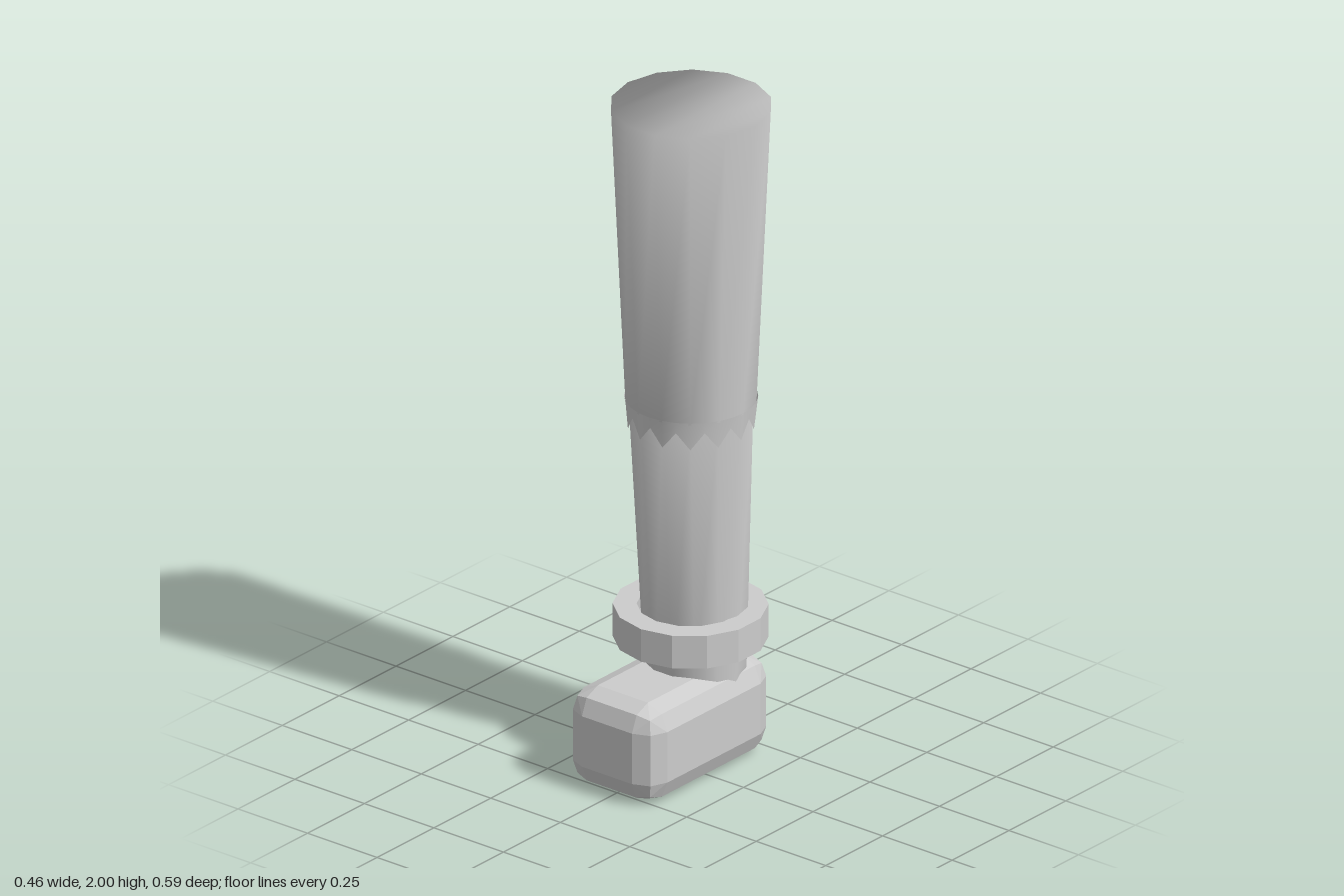
import * as THREE from 'three';
import { ConvexGeometry } from 'three/addons/geometries/ConvexGeometry.js';

const SIDES = 14;

// Capped tapering limb with soft shared normals; rings are [y, radius, z centre], bottom to top
function limb(rings) {
  const pos = [], idx = [];
  for (const [y, r, zc] of rings) {
    for (let i = 0; i < SIDES; i++) {
      const a = Math.PI / 2 + (i / SIDES) * Math.PI * 2;
      pos.push(r * Math.sin(a), y, zc + r * Math.cos(a));
    }
  }
  for (let k = 0; k < rings.length - 1; k++) {
    for (let i = 0; i < SIDES; i++) {
      const j = (i + 1) % SIDES, lo = k * SIDES, hi = lo + SIDES;
      idx.push(lo + i, lo + j, hi + j, lo + i, hi + j, hi + i);
    }
  }
  // End caps, filled in strips across the polygon
  const top = (rings.length - 1) * SIDES;
  const cap = (a, b, c) => {
    idx.push(top + a, top + b, top + c);
    idx.push(a, c, b);
  };
  for (let l = 0, r = SIDES - 1; l + 1 < r; l++, r--) {
    cap(l, l + 1, r);
    if (l + 1 < r - 1) cap(l + 1, r - 1, r);
  }
  const g = new THREE.BufferGeometry();
  g.setAttribute('position', new THREE.Float32BufferAttribute(pos, 3));
  g.setIndex(idx);
  g.computeVertexNormals();
  return g;
}

// Zigzag cloth edge hanging below the trouser leg
function raggedHem(teeth, zc) {
  const g = new THREE.CylinderGeometry(0.187, 0.18, 1, teeth * 2, 1, true);
  const p = g.attributes.position, n = teeth * 2 + 1;
  for (let i = 0; i < p.count; i++) {
    const tip = (i % n) % 2 === 1;
    const upper = p.getY(i) > 0;
    const y = upper ? 1.105 : tip ? 1.02 : 1.07;
    p.setXYZ(i, p.getX(i), y, p.getZ(i) + zc);
  }
  g.computeVertexNormals();
  return g;
}

// Box with two-step chamfers on every edge
function chamferedBox(w, h, d, r) {
  const pts = [];
  for (const sx of [-1, 1]) for (const sy of [-1, 1]) for (const sz of [-1, 1]) {
    for (let m = 1; m < 8; m++) {
      const v = new THREE.Vector3(m & 1, (m >> 1) & 1, (m >> 2) & 1).normalize().multiplyScalar(r);
      v.add(new THREE.Vector3(w / 2 - r, h / 2 - r, d / 2 - r));
      pts.push(v.multiply(new THREE.Vector3(sx, sy, sz)));
    }
  }
  return new ConvexGeometry(pts);
}

export function createModel() {
  const model = new THREE.Group();
  model.name = 'leg';
  const grey = new THREE.MeshStandardMaterial({ color: 0xcccccc, side: THREE.DoubleSide });
  grey.name = 'light grey';
  const flatGrey = grey.clone();
  flatGrey.flatShading = true;

  const add = (name, geometry, material) => {
    const mesh = new THREE.Mesh(geometry, material);
    mesh.name = name;
    model.add(mesh);
    return mesh;
  };

  // Upper leg, ragged hem and shin
  add('thigh', limb([[1.1, 0.187, -0.075], [2, 0.228, -0.075]]), grey);
  add('raggedHem', raggedHem(14, -0.075), grey);
  add('shin', limb([[0.25, 0.145, -0.095], [1.1, 0.178, -0.075]]), grey);

  // Shackle ring around the ankle
  const profile = [[0.15, 0.365], [0.2175, 0.365], [0.2175, 0.465], [0.15, 0.465], [0.15, 0.365]]
    .map(([x, y]) => new THREE.Vector2(x, y));
  add('ankleRing', new THREE.LatheGeometry(profile, SIDES), flatGrey).position.z = -0.0725;

  // Blocky foot
  add('foot', chamferedBox(0.32, 0.295, 0.55, 0.07), flatGrey).position.set(0, 0.1475, 0.02);

  return model;
}
